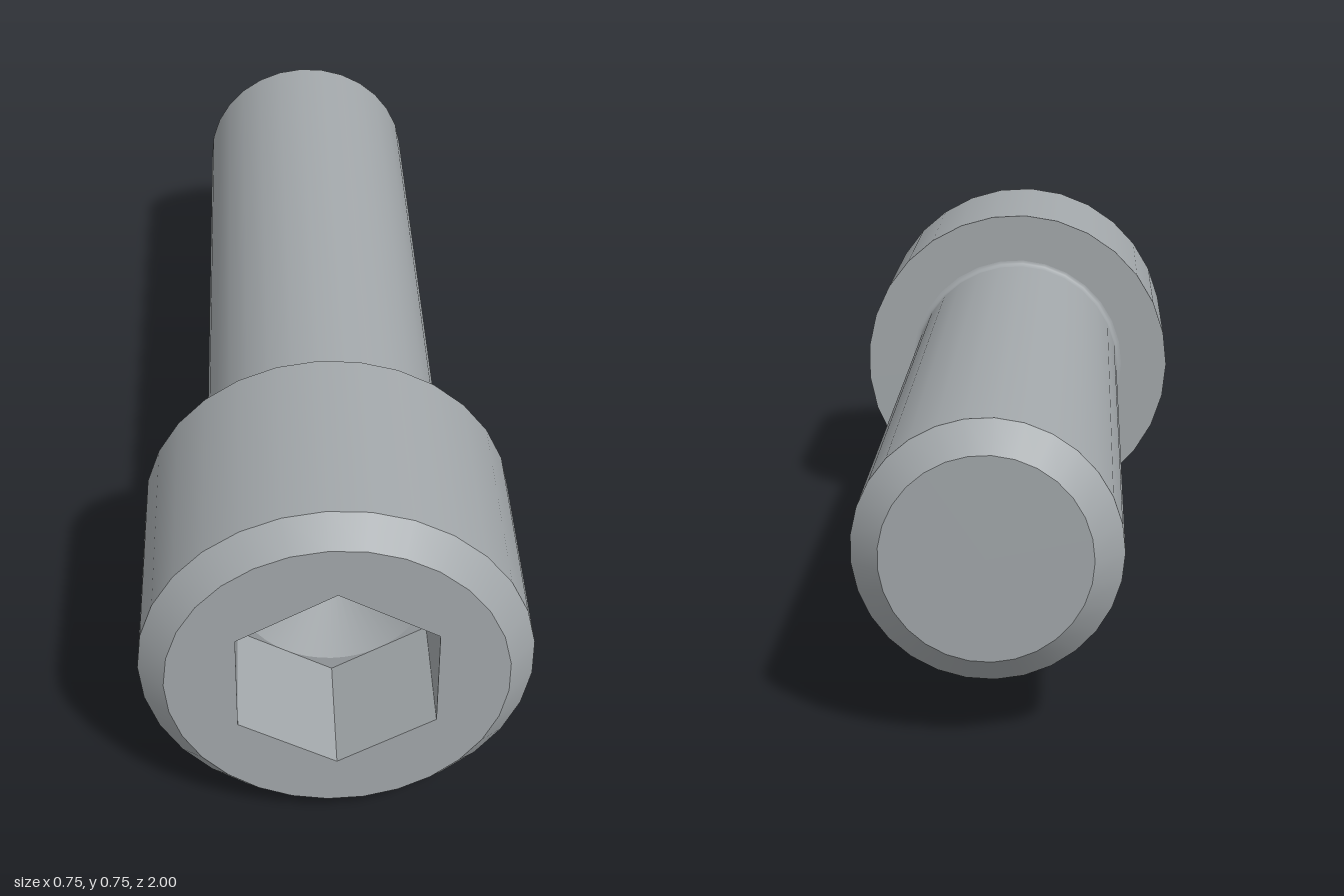
import * as THREE from 'three';

const SIDES = 29;
const AXIS_Y = 0.3745;

// Points of a regular polygon in the XY plane
function polygon(radius, sides, start) {
  return Array.from({ length: sides }, (_, i) => {
    const a = start + (i / sides) * Math.PI * 2;
    return new THREE.Vector2(radius * Math.cos(a), radius * Math.sin(a));
  });
}

export function createModel() {
  const steel = new THREE.MeshStandardMaterial({ color: 0xa3a8ab });
  steel.name = 'steel grey';

  const screw = new THREE.Group();
  screw.name = 'socketHeadScrew';

  function add(name, geometry) {
    const mesh = new THREE.Mesh(geometry, steel);
    mesh.name = name;
    mesh.position.y = AXIS_Y;
    screw.add(mesh);
  }

  // Surface turned about the z axis from [radius, z] pairs
  function turned(profile, sides = SIDES, phiStart = -Math.PI / 2) {
    const points = profile.map(([r, z]) => new THREE.Vector2(r, z));
    return new THREE.LatheGeometry(points, sides, phiStart).rotateX(Math.PI / 2);
  }

  // Flat face towards +z with a hole
  function plate(outline, hole, z) {
    const shape = new THREE.Shape(outline);
    shape.holes.push(new THREE.Path(hole));
    return new THREE.ShapeGeometry(shape).translate(0, 0, z);
  }

  // Shank, separate bands keep the edges sharp
  add('shankEnd', turned([[0, -1], [0.195, -1]]));
  add('shankChamfer', turned([[0.195, -1], [0.25, -0.948]]));
  add('shank', turned([[0.25, -0.948], [0.25, 0.4875]]));

  // Small concave fillet under the head
  const f = 0.0125;
  const fillet = Array.from({ length: 6 }, (_, i) => {
    const a = (i / 5) * Math.PI / 2;
    return [0.25 + f * (1 - Math.cos(a)), 0.5 - f + f * Math.sin(a)];
  });
  add('fillet', turned(fillet));

  // Head
  add('headUnderside', turned([[0.25 + f, 0.5], [0.375, 0.5]]));
  add('headSide', turned([[0.375, 0.5], [0.375, 0.95]]));
  add('headChamfer', turned([[0.375, 0.95], [0.325, 1]]));

  // Hexagonal socket with a drilled conical bottom
  const hexRadius = 0.218, drillRadius = 0.1885, floorZ = 0.75;
  const hex = polygon(hexRadius, 6, Math.PI / 2);
  add('headFace', plate(polygon(0.325, SIDES, Math.PI), hex, 1));
  const walls = turned([[hexRadius, 1], [hexRadius, floorZ]], 6, 0).toNonIndexed();
  walls.computeVertexNormals();
  add('socketWalls', walls);
  add('socketFloor', plate(hex, polygon(drillRadius, 48, Math.PI), floorZ));
  add('socketCone', turned([[drillRadius, floorZ], [0, 0.641]], 48));

  return screw;
}
